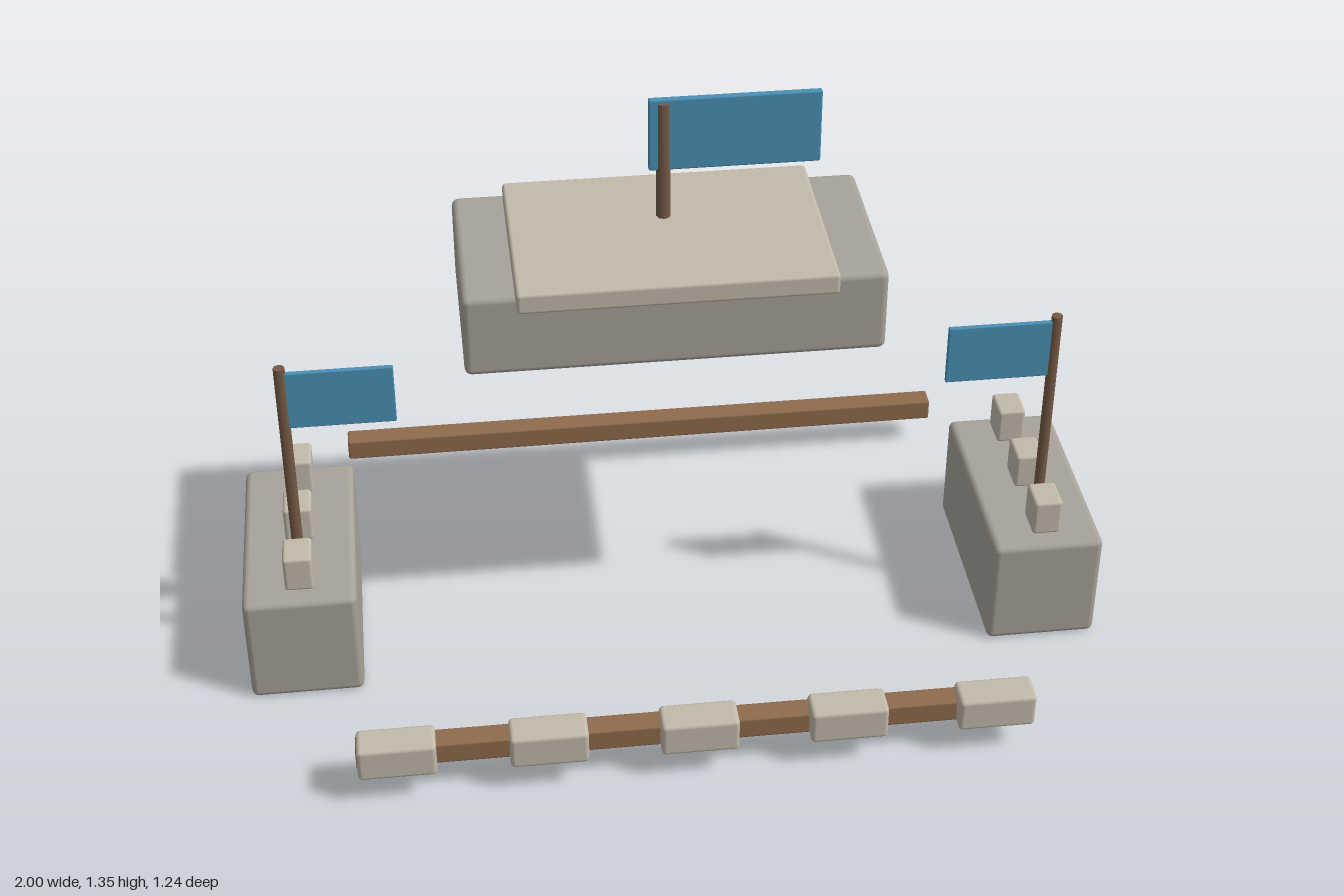
import * as THREE from 'three';
import { RoundedBoxGeometry } from 'three/addons/geometries/RoundedBoxGeometry.js';

const material = (color) => new THREE.MeshStandardMaterial({ color });
const stone = material(0xa8a399);
const paleStone = material(0xc2bbaa);
const wood = material(0x8f6b4c);
const poleWood = material(0x755a45);
const cloth = material(0x4a90b5);

export function createModel() {
  const model = new THREE.Group();
  model.name = 'fortification';

  const add = (parent, name, geometry, mat, x, y, z) => {
    const mesh = new THREE.Mesh(geometry, mat);
    mesh.name = name;
    mesh.position.set(x, y, z);
    parent.add(mesh);
    return mesh;
  };
  // Box with softened edges, given by its size and centre
  const block = (parent, name, [w, h, d], bevel, mat, x, y, z) =>
    add(parent, name, new RoundedBoxGeometry(w, h, d, 2, bevel), mat, x, y, z);
  // Upright pole between two heights
  const pole = (parent, name, radius, bottom, top, x, z) =>
    add(parent, name, new THREE.CylinderGeometry(radius, radius, top - bottom, 8),
      poleWood, x, (bottom + top) / 2, z);

  // Side bastions, each with three merlons and an inward flying flag
  for (const side of [-1, 1]) {
    const bastion = new THREE.Group();
    bastion.name = side > 0 ? 'leftBastion' : 'rightBastion';
    model.add(bastion);
    block(bastion, 'bastionBlock', [0.26, 0.275, 0.52], 0.016, stone, side * 0.87, 0.14, -0.024);
    for (const z of [0.166, -0.016, -0.2]) {
      block(bastion, 'merlon', [0.066, 0.09, 0.083], 0.008, paleStone, side * 0.867, 0.335, z);
    }
    pole(bastion, 'flagPole', 0.013, 0.33, 0.84, side * 0.867, 0.112);
    block(bastion, 'flag', [0.246, 0.146, 0.012], 0.003, cloth, side * 0.743, 0.753, 0.112);
  }

  // Raised keep with its roof slab and banner
  const keep = new THREE.Group();
  keep.name = 'keep';
  model.add(keep);
  block(keep, 'keepBlock', [0.93, 0.2, 0.437], 0.016, stone, 0, 0.922, -0.047);
  block(keep, 'roofSlab', [0.695, 0.05, 0.475], 0.008, paleStone, -0.002, 1.037, -0.009);
  pole(keep, 'bannerPole', 0.016, 1.05, 1.345, -0.003, -0.06);
  block(keep, 'banner', [0.38, 0.174, 0.016], 0.004, cloth, 0.154, 1.268, -0.06);

  // Front and back beams
  block(model, 'frontBeam', [1.52, 0.054, 0.054], 0.005, wood, 0, 0.106, 0.557);
  block(model, 'backBeam', [1.52, 0.054, 0.054], 0.005, wood, 0, 0.106, -0.59);

  // Stones along the front beam
  for (let i = -2; i <= 2; i++) {
    block(model, 'beamStone', [0.174, 0.084, 0.078], 0.01, paleStone, i * 0.335, 0.118, 0.579);
  }

  return model;
}
